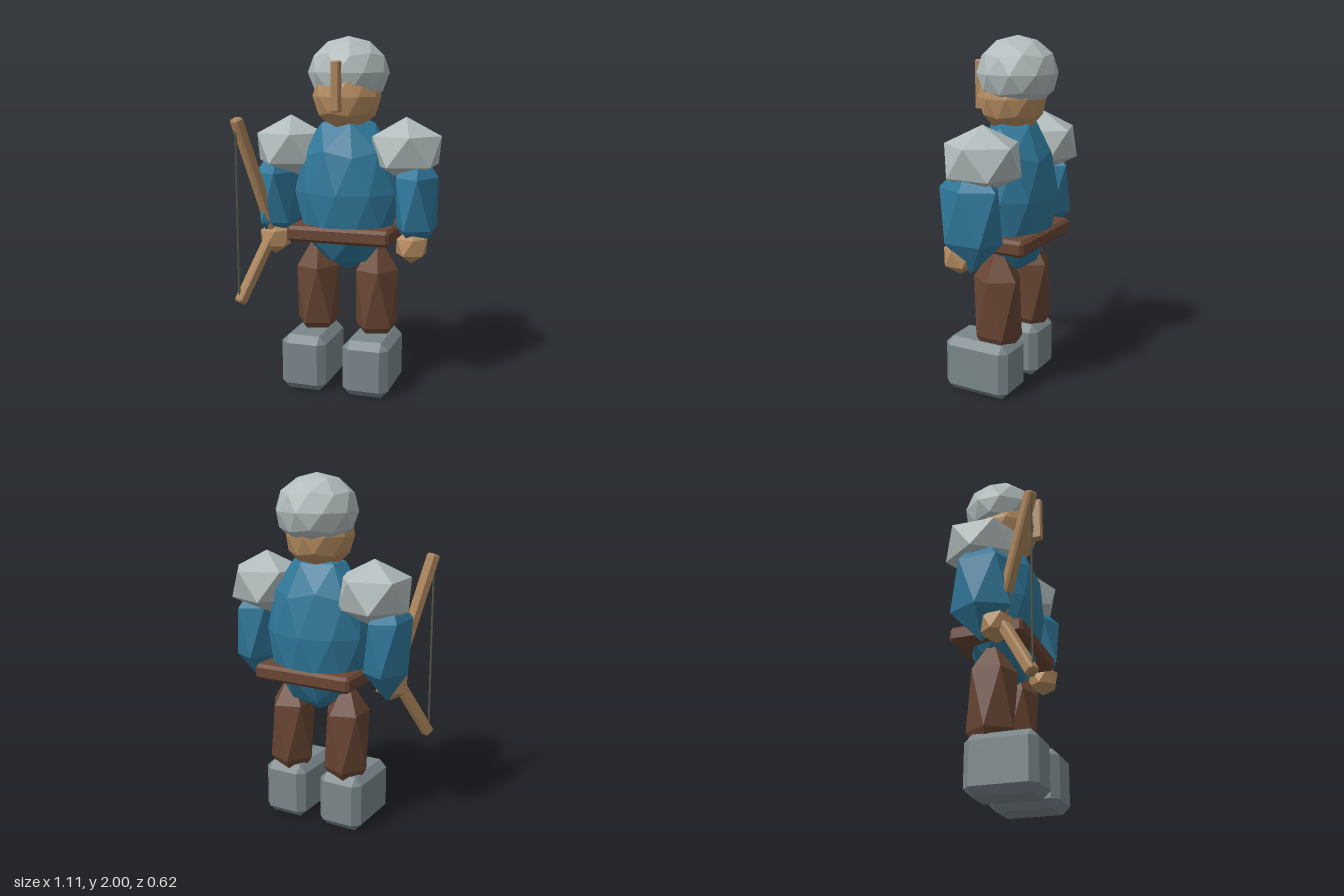
import * as THREE from 'three';
import { ConvexGeometry } from 'three/addons/geometries/ConvexGeometry.js';

function paint(name, color) {
  const m = new THREE.MeshStandardMaterial({ color });
  m.name = name;
  return m;
}

// Faceted ball with a corner straight up and a ring corner towards +x
function facetedBall(detail, rx, ry, rz) {
  const g = new THREE.IcosahedronGeometry(1, detail);
  g.rotateX(-Math.atan((1 + Math.sqrt(5)) / 2));
  g.rotateY(Math.PI / 2);
  g.scale(rx, ry, rz);
  g.computeVertexNormals();
  return g;
}

// Box with every edge cut flat by the bevel b
function chamferBox(w, h, d, b) {
  const points = [];
  for (const sx of [-1, 1]) for (const sy of [-1, 1]) for (const sz of [-1, 1]) {
    for (let axis = 0; axis < 3; axis++) {
      const cut = [b, b, b];
      cut[axis] = 0;
      points.push(new THREE.Vector3(
        sx * (w / 2 - cut[0]), sy * (h / 2 - cut[1]), sz * (d / 2 - cut[2])));
    }
  }
  return new ConvexGeometry(points);
}

export function createModel() {
  const steel = paint('steel', 0xb2bcbc);
  const bootGrey = paint('bootGrey', 0x7a868a);
  const cloth = paint('blueCloth', 0x2f7799);
  const leather = paint('brownLeather', 0x684533);
  const skin = paint('skin', 0xb58c60);
  const wood = paint('wood', 0xa9835a);
  const cord = paint('cord', 0x56584a);

  const model = new THREE.Group();
  model.name = 'archer';
  function add(name, geometry, material, x, y, z) {
    const mesh = new THREE.Mesh(geometry, material);
    mesh.name = name;
    mesh.position.set(x, y, z);
    model.add(mesh);
    return mesh;
  }

  const cx = 0.015; // body centre line

  // Torso, belt and head
  add('torso', facetedBall(1, 0.31, 0.46, 0.23), cloth, cx, 1.13, -0.07);
  add('belt', chamferBox(0.6, 0.09, 0.425, 0.018), leather, cx, 0.9, -0.07);
  add('head', facetedBall(1, 0.195, 0.2, 0.19), skin, cx, 1.67, -0.057);
  add('helmet', facetedBall(1, 0.232, 0.2, 0.222), steel, cx, 1.8, -0.09);
  add('noseGuard', chamferBox(0.046, 0.275, 0.065, 0.007), wood, cx, 1.727, 0.137);

  // Limbs, the same shapes on both sides
  for (const [side, s] of [['left', 1], ['right', -1]]) {
    add(side + 'ShoulderPad', facetedBall(0, 0.224, 0.185, 0.232), steel, cx + s * 0.342, 1.375, -0.07);
    add(side + 'Arm', facetedBall(0, 0.134, 0.32, 0.2), cloth, cx + s * 0.415, 1.09, -0.04);
    add(side + 'Hand', facetedBall(0, 0.1, 0.1, 0.1), skin, cx + s * 0.405, 0.855, 0.035);
    add(side + 'Leg', facetedBall(0, 0.14, 0.37, 0.156), leather, cx + s * 0.18, 0.52, -0.0675);
    add(side + 'Boot', chamferBox(0.266, 0.322, 0.403, 0.042), bootGrey, cx + s * 0.182, 0.161, 0.017);
  }

  // Bow held in the right hand
  const grip = new THREE.Vector3(-0.398, 0.89, 0.055);
  const tips = [['upper', 1.555], ['lower', 0.51]].map(
    ([name, y]) => [name, new THREE.Vector3(-0.517, y, 0.275)]);
  for (const [name, tip] of tips) {
    const along = tip.clone().sub(grip);
    const length = along.length();
    along.normalize();
    const across = new THREE.Vector3(0.215, 0, 0.119).normalize();
    const depth = across.clone().cross(along);
    const mid = grip.clone().add(tip).multiplyScalar(0.5);
    const limb = add(name + 'BowLimb', chamferBox(0.062, length, 0.06, 0.011), wood, mid.x, mid.y, mid.z);
    limb.quaternion.setFromRotationMatrix(new THREE.Matrix4().makeBasis(across, along, depth));
  }
  add('bowString', new THREE.CylinderGeometry(0.006, 0.006, 1, 6), cord, -0.52, 1.035, 0.275);

  return model;
}
